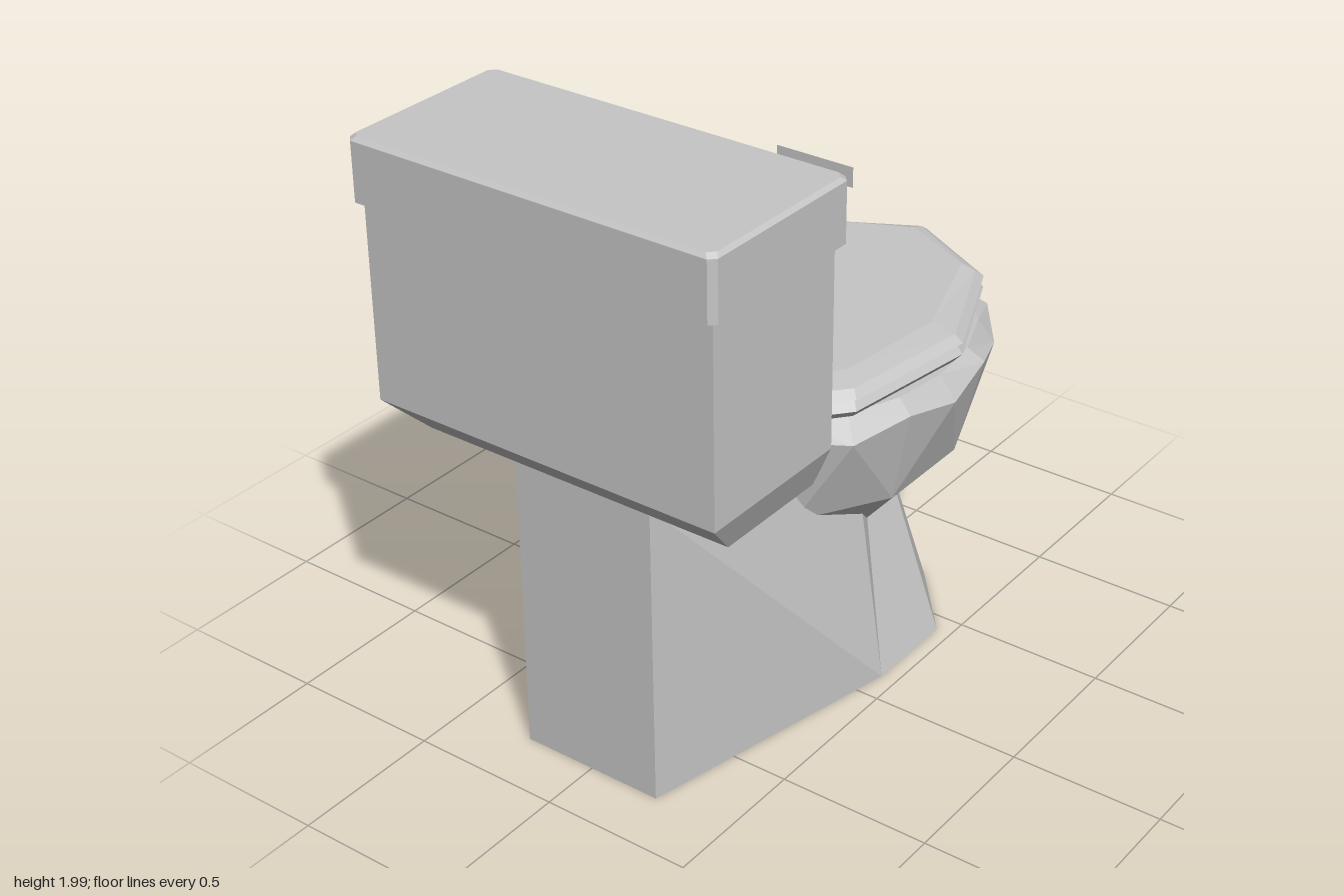
import * as THREE from 'three';

const V = (x, y, z) => [x, y, z];

// Flat-shaded mesh from a list of triangles
function facetMesh(name, tris, material) {
  const geo = new THREE.BufferGeometry();
  geo.setAttribute('position', new THREE.Float32BufferAttribute(tris.flat(2), 3));
  geo.computeVertexNormals();
  const mesh = new THREE.Mesh(geo, material);
  mesh.name = name;
  return mesh;
}

// Fan that closes a ring; rings run from +x towards +z
function cap(ring, up) {
  const tris = [];
  for (let i = 1; i < ring.length - 1; i++) {
    tris.push(up ? [ring[0], ring[i + 1], ring[i]] : [ring[0], ring[i], ring[i + 1]]);
  }
  return tris;
}

// Closed solid through rings listed from bottom to top
function loft(rings, flip = () => false) {
  const tris = [...cap(rings[0], false), ...cap(rings[rings.length - 1], true)];
  for (let k = 0; k < rings.length - 1; k++) {
    const lo = rings[k], hi = rings[k + 1], n = lo.length;
    for (let i = 0; i < n; i++) {
      const a = lo[i], b = lo[(i + 1) % n], c = hi[(i + 1) % n], d = hi[i];
      if (flip(i)) tris.push([a, d, b], [d, c, b]);
      else tris.push([a, d, c], [a, c, b]);
    }
  }
  return tris;
}

// Rectangle ring with optional chamfered corners
function rect(x0, x1, z, y, c = 0) {
  if (!c) return [V(x1, y, -z), V(x1, y, z), V(x0, y, z), V(x0, y, -z)];
  return [
    V(x1, y, -z + c), V(x1, y, z - c), V(x1 - c, y, z), V(x0 + c, y, z),
    V(x0, y, z - c), V(x0, y, -z + c), V(x0 + c, y, -z), V(x1 - c, y, -z),
  ];
}

// Elliptical ring point around the bowl centre
function oval(deg, rx, rz, y) {
  const a = THREE.MathUtils.degToRad(deg);
  return V(0.32 + rx * Math.cos(a), y, rz * Math.sin(a));
}

function bowlTriangles() {
  const top = [], rim = [], mid = [], low = [];
  for (let i = 0; i < 20; i++) {
    top.push(oval(i * 18, 0.62, 0.49, 1.02));
    rim.push(oval(i * 18, 0.675, 0.545, i % 2 ? 0.94 : 0.98));
  }
  for (let i = 0; i < 10; i++) mid.push(oval(i * 36, 0.575, 0.465, 0.65));
  for (let i = 0; i < 5; i++) low.push(oval(36 + i * 72, 0.31, 0.29, 0.455));
  const tris = cap(top, true);
  for (let i = 0; i < 20; i++) {
    const j = (i + 1) % 20;
    tris.push([rim[i], top[i], top[j]], [rim[i], top[j], rim[j]]);
  }
  // zigzag facets between rim and middle
  for (let i = 0; i < 10; i++) {
    const j = (i + 1) % 10;
    const prev = rim[(2 * i + 19) % 20], peak = rim[2 * i], next = rim[2 * i + 1];
    tris.push([mid[i], prev, peak], [mid[i], peak, next], [mid[i], next, mid[j]]);
  }
  // underside
  const pole = V(0.32, 0.38, 0);
  for (let j = 0; j < 5; j++) {
    const a = mid[2 * j], b = mid[2 * j + 1], c = mid[(2 * j + 2) % 10];
    const p = low[j], q = low[(j + 1) % 5];
    tris.push([a, b, p], [b, c, p], [p, c, q], [p, q, pole]);
  }
  return tris;
}

// Seat outline, mirrored across z
const mirror = (half) => [...half, ...half.slice(1).reverse().map(([x, z]) => [x, -z])];
const seatOuter = mirror([[1, 0], [0.82, 0.33], [0.4, 0.515], [-0.08, 0.45], [-0.4, 0.18]]);
const seatInner = mirror([[0.92, 0], [0.79, 0.265], [0.4, 0.4], [0, 0.36], [-0.27, 0.15]]);
const seatRing = (s, y, pts = seatOuter) => pts.map(([x, z]) => V(0.3 + (x - 0.3) * s, y, z * s));

export function createModel() {
  const group = new THREE.Group();
  group.name = 'toilet';
  const porcelain = new THREE.MeshStandardMaterial({ color: 0xc6c6c6, flatShading: true });
  porcelain.name = 'grey porcelain';
  const sheet = porcelain.clone();
  sheet.side = THREE.DoubleSide;
  const add = (name, tris) => group.add(facetMesh(name, tris, porcelain));

  // Pedestal: rear block running into a faceted, flared foot
  const foot = [[-0.8, -0.245]];
  for (let k = 0; k < 6; k++) {
    const a = THREE.MathUtils.degToRad(-90 + 40 * k);
    foot.push([0.27 + 0.475 * Math.cos(a), 0.475 * Math.sin(a)]);
  }
  foot.push([-0.8, 0.245]);
  const neck = [[-0.8, -0.245], [0.22, -0.24], [0.33, -0.17], [0.39, -0.05],
    [0.38, 0.06], [0.35, 0.14], [0.175, 0.24], [-0.8, 0.245]];
  add('pedestal', loft(
    [foot.map(([x, z]) => V(x, 0, z)), neck.map(([x, z]) => V(x, 1.015, z))],
    (i) => i === 0 || i === 5,
  ));

  add('bowl', bowlTriangles());

  // Seat and its cover
  add('seat', loft([seatRing(0.94, 1.028), seatRing(1, 1.062), seatRing(0.965, 1.088)]));
  add('seatCover', loft([
    seatRing(0.965, 1.088), seatRing(1, 1.1), seatRing(0.95, 1.125), seatRing(1, 1.138, seatInner),
  ]));

  // Tank with tapered bottom
  add('tank', loft([
    rect(-0.83, -0.43, 0.54, 1.02), rect(-0.97, -0.43, 0.6, 1.16), rect(-0.97, -0.43, 0.6, 1.8),
  ]));
  add('tankLid', loft([
    rect(-1, -0.395, 0.625, 1.795, 0.02), rect(-1, -0.395, 0.625, 1.98, 0.02),
    rect(-0.988, -0.407, 0.613, 1.992, 0.02),
  ]));

  // Flush handle plate
  const handle = new THREE.Mesh(new THREE.PlaneGeometry(0.25, 0.06), sheet);
  handle.name = 'flushHandle';
  handle.rotation.y = Math.PI / 2;
  handle.position.set(-0.32, 1.94, 0.455);
  group.add(handle);

  return group;
}
